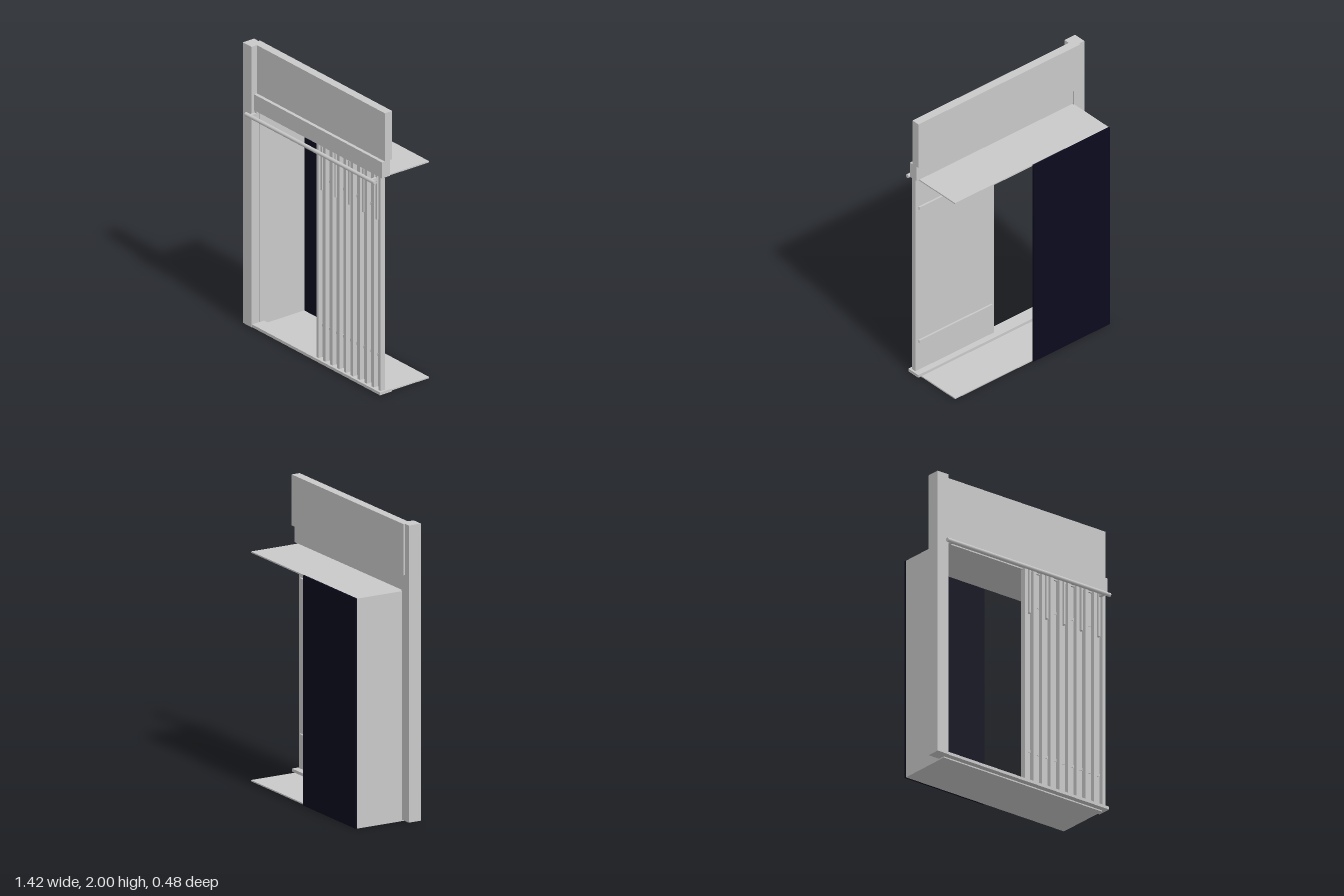
import * as THREE from 'three';

export function createModel() {
  const root = new THREE.Group();
  root.name = 'slattedSlidingFacade';
  const grey = new THREE.MeshStandardMaterial({ color: 0xc9c9c9 });
  grey.name = 'light grey';
  const navy = new THREE.MeshStandardMaterial({ color: 0x0b0b1e });
  navy.name = 'dark navy';

  // Box given by its lower and upper limits on each axis
  function box(name, [x0, x1], [y0, y1], [z0, z1], material = grey) {
    const mesh = new THREE.Mesh(new THREE.BoxGeometry(x1 - x0, y1 - y0, z1 - z0), material);
    mesh.position.set((x0 + x1) / 2, (y0 + y1) / 2, (z0 + z1) / 2);
    mesh.name = name;
    root.add(mesh);
    return mesh;
  }

  // Frame: side post, upper panel, stepped fascia and sill
  box('sidePost', [-0.715, -0.625], [0.01, 2], [0.11, 0.202]);
  box('upperPanel', [-0.67, 0.71], [1.658, 2], [0.098, 0.158]);
  box('fascia', [-0.626, 0.71], [1.545, 1.658], [0.118, 0.182]);
  box('sill', [-0.627, 0.71], [0.01, 0.03], [0.1, 0.198]);

  // Recess behind the opening
  box('floor', [-0.63, 0.68], [0, 0.009], [-0.228, 0.16]);
  box('ceiling', [-0.63, 0.68], [1.531, 1.54], [-0.228, 0.16]);
  box('sideWall', [-0.63, -0.622], [0.009, 1.531], [-0.228, 0.14]);
  box('backPanel', [-0.631, 0.02], [0, 1.541], [-0.24, -0.228], navy);

  // Slatted door: thin backing, two battens and ten slats
  box('doorBacking', [0.024, 0.695], [0.03, 1.531], [0.145, 0.148]);
  for (const y of [0.257, 1.302]) {
    box('batten', [0.048, 0.67], [y - 0.01, y + 0.01], [0.132, 0.152]);
  }
  const pitch = 0.0718;
  for (let i = 0; i < 10; i++) {
    const x = 0.024 + i * pitch;
    box('slat', [x, x + 0.025], [0.03, 1.545], [0.148, 0.181]);
  }

  // Hanger straps in every second gap
  for (let i = 0; i < 5; i++) {
    const x = 0.072 + i * pitch * 2;
    box('hangerStrap', [x - 0.007, x + 0.007], [1.23, 1.54], [0.158, 0.178]);
  }

  // Round rail along the front with its two brackets
  const railGeometry = new THREE.CylinderGeometry(0.0135, 0.0135, 1.35, 12);
  railGeometry.rotateZ(Math.PI / 2);
  const rail = new THREE.Mesh(railGeometry, grey);
  rail.position.set(0.02, 1.52, 0.2255);
  rail.name = 'rail';
  root.add(rail);
  for (const x of [-0.61, 0.65]) {
    box('railBracket', [x - 0.009, x + 0.009], [1.51, 1.53], [0.165, 0.218]);
    box('bracketStem', [x - 0.009, x + 0.009], [1.51, 1.546], [0.165, 0.181]);
  }
  return root;
}
